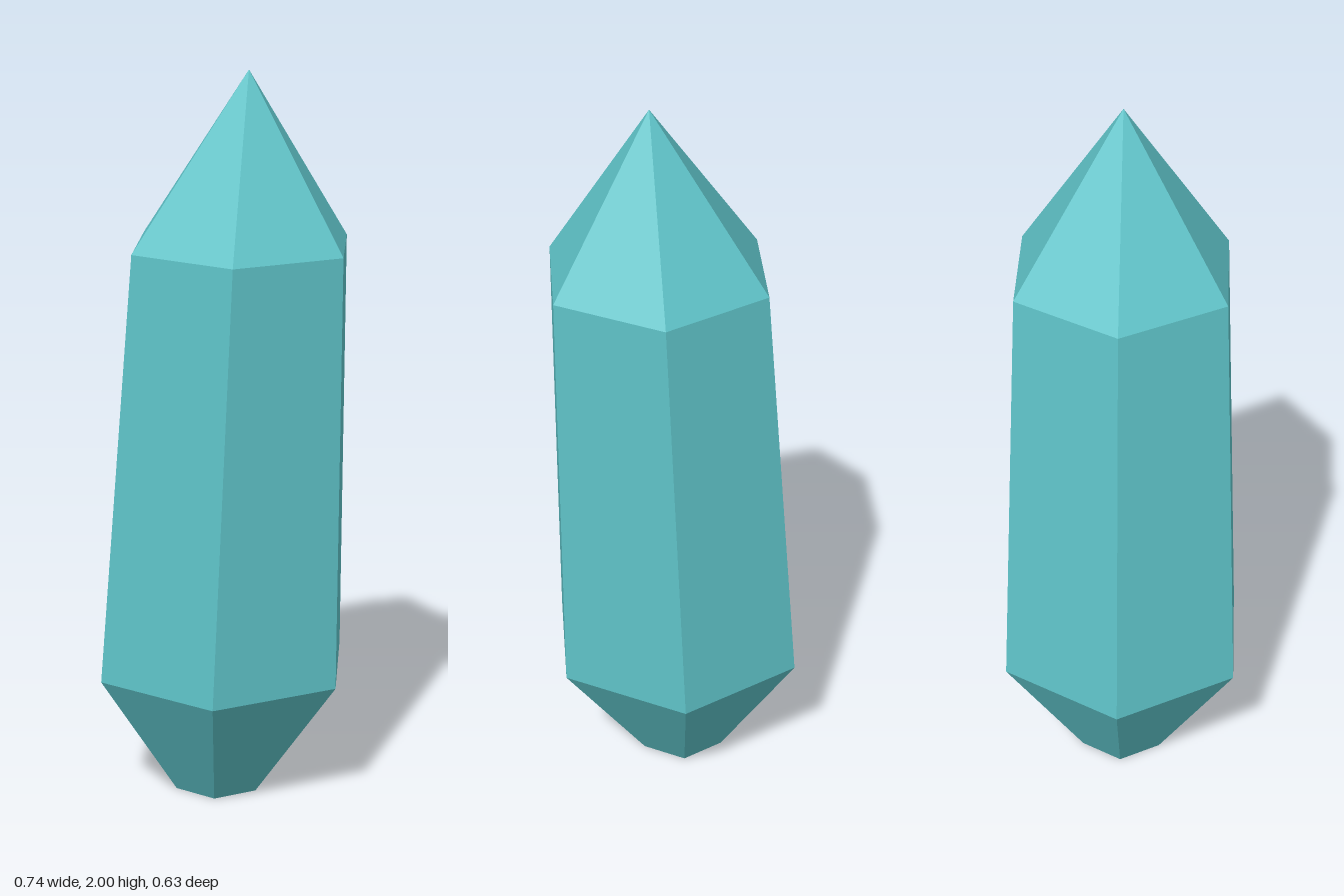
import * as THREE from 'three';

// Six-sided rings from bottom to top: height, radius and sideways offset of the centre
const RINGS = [
  { y: 0, r: 0.127, x: -0.022 },
  { y: 0.36, r: 0.366, x: -0.004 },
  { y: 1.54, r: 0.315, x: 0.054 },
  { y: 2, r: 0, x: 0.077 },
];

// Leaning hexagonal section between two rings, with corners on the x axis
function section(name, lower, upper, material) {
  const height = upper.y - lower.y;
  const geometry = new THREE.CylinderGeometry(upper.r, lower.r, height, 6, 1, true, Math.PI / 2);
  geometry.translate(0, lower.y + height / 2, 0);
  const pos = geometry.attributes.position;
  for (let i = 0; i < pos.count; i++) {
    const t = (pos.getY(i) - lower.y) / height;
    pos.setX(i, pos.getX(i) + THREE.MathUtils.lerp(lower.x, upper.x, t));
  }
  const flat = geometry.toNonIndexed();
  flat.computeVertexNormals();
  const mesh = new THREE.Mesh(flat, material);
  mesh.name = name;
  return mesh;
}

export function createModel() {
  const crystal = new THREE.Group();
  crystal.name = 'crystal';

  const teal = new THREE.MeshStandardMaterial({ color: 0x5fc4c9 });
  teal.name = 'teal crystal';
  teal.flatShading = true;

  // Tapered root, long shaft and pointed tip
  ['crystalRoot', 'crystalShaft', 'crystalTip'].forEach((name, i) => {
    crystal.add(section(name, RINGS[i], RINGS[i + 1], teal));
  });

  // Flat underside
  const underside = new THREE.Mesh(new THREE.CircleGeometry(RINGS[0].r, 6), teal);
  underside.name = 'underside';
  underside.rotation.x = Math.PI / 2;
  underside.position.x = RINGS[0].x;
  crystal.add(underside);

  return crystal;
}
